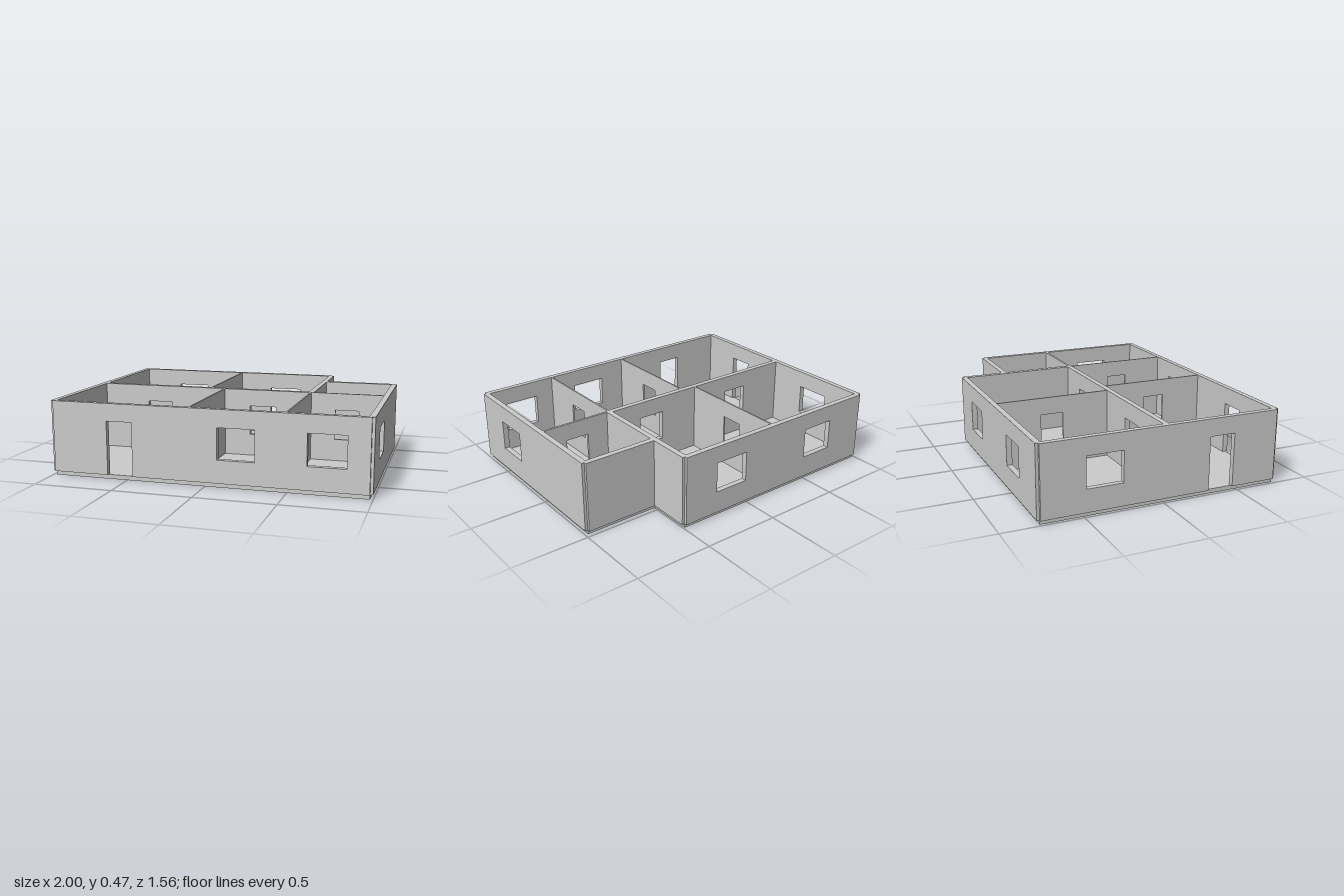
import * as THREE from 'three';

const FLOOR = 0.027, TOP = 0.475;   // wall bottom and top
const SILL = 0.17, HEAD = 0.365;    // opening heights
const THICK = 0.035, THIN = 0.01;

const material = new THREE.MeshStandardMaterial({ color: 0xcccccc, flatShading: true });

// Wall running along 'x' or 'z' from a to b, centred at `at` on the other axis.
// windows: [from, to] holes; doors: [from, to] notches rising from the floor.
function wall({ name, axis, at, a, b, thick = THICK, windows = [], doors = [] }) {
  const shape = new THREE.Shape();
  shape.moveTo(a, FLOOR);
  for (const [d0, d1] of doors) {
    shape.lineTo(d0, FLOOR);
    shape.lineTo(d0, HEAD);
    shape.lineTo(d1, HEAD);
    shape.lineTo(d1, FLOOR);
  }
  shape.lineTo(b, FLOOR);
  shape.lineTo(b, TOP);
  shape.lineTo(a, TOP);
  shape.closePath();
  for (const [w0, w1] of windows) {
    const hole = new THREE.Path();
    hole.moveTo(w0, SILL);
    hole.lineTo(w0, HEAD);
    hole.lineTo(w1, HEAD);
    hole.lineTo(w1, SILL);
    hole.closePath();
    shape.holes.push(hole);
  }
  const geometry = new THREE.ExtrudeGeometry(shape, { depth: thick, bevelEnabled: false });
  geometry.translate(0, 0, -thick / 2);
  if (axis === 'z') geometry.rotateY(-Math.PI / 2).translate(at, 0, 0);
  else geometry.translate(0, 0, at);
  const mesh = new THREE.Mesh(geometry, material);
  mesh.name = name;
  return mesh;
}

export function createModel() {
  const house = new THREE.Group();
  house.name = 'house';

  // Floor slab with the back corner cut out
  const plan = new THREE.Shape([
    [-0.982, -0.762], [0.982, -0.762], [0.982, 0.472],
    [0.492, 0.472], [0.492, 0.762], [-0.982, 0.762],
  ].map(([x, y]) => new THREE.Vector2(x, y)));
  const slab = new THREE.ExtrudeGeometry(plan, { depth: FLOOR, bevelEnabled: false });
  slab.rotateX(-Math.PI / 2);
  const floor = new THREE.Mesh(slab, material);
  floor.name = 'floorSlab';
  house.add(floor);

  const walls = [
    // Outer walls
    { name: 'frontWall', axis: 'x', at: 0.759, a: -0.982, b: 0.982,
      doors: [[-0.625, -0.46]], windows: [[0.08, 0.31], [0.62, 0.85]] },
    { name: 'backWall', axis: 'x', at: -0.762, a: -0.982, b: 0.492,
      windows: [[-0.7, -0.475], [0.03, 0.26]] },
    { name: 'rightWall', axis: 'z', at: -0.982, a: -0.762, b: 0.76,
      doors: [[0.3, 0.465]], windows: [[-0.49, -0.26]] },
    { name: 'leftWall', axis: 'z', at: 0.982, a: -0.472, b: 0.76,
      windows: [[0.28, 0.51]] },
    { name: 'cornerBackWall', axis: 'x', at: -0.472, a: 0.492, b: 0.982 },
    { name: 'cornerSideWall', axis: 'z', at: 0.492, a: -0.762, b: 0.018 },
    // Inner walls
    { name: 'middleWall', axis: 'x', at: 0.018, a: -0.97, b: 0.492,
      windows: [[-0.65, -0.475], [0.08, 0.26]] },
    { name: 'leftRoomsPartition', axis: 'x', at: 0.022, a: 0.49, b: 0.97, thick: 0.015,
      windows: [[0.655, 0.81]] },
    { name: 'backRoomsPartition', axis: 'z', at: -0.2, a: -0.755, b: 0.01, thick: THIN,
      windows: [[-0.46, -0.31]] },
    { name: 'frontRoomsPartition', axis: 'z', at: -0.1, a: 0.025, b: 0.75, thick: THIN,
      windows: [[0.32, 0.465]] },
    { name: 'frontLeftPartition', axis: 'z', at: 0.49, a: 0.025, b: 0.75, thick: THIN,
      windows: [[0.32, 0.465]] },
  ];
  for (const spec of walls) house.add(wall(spec));

  return house;
}
